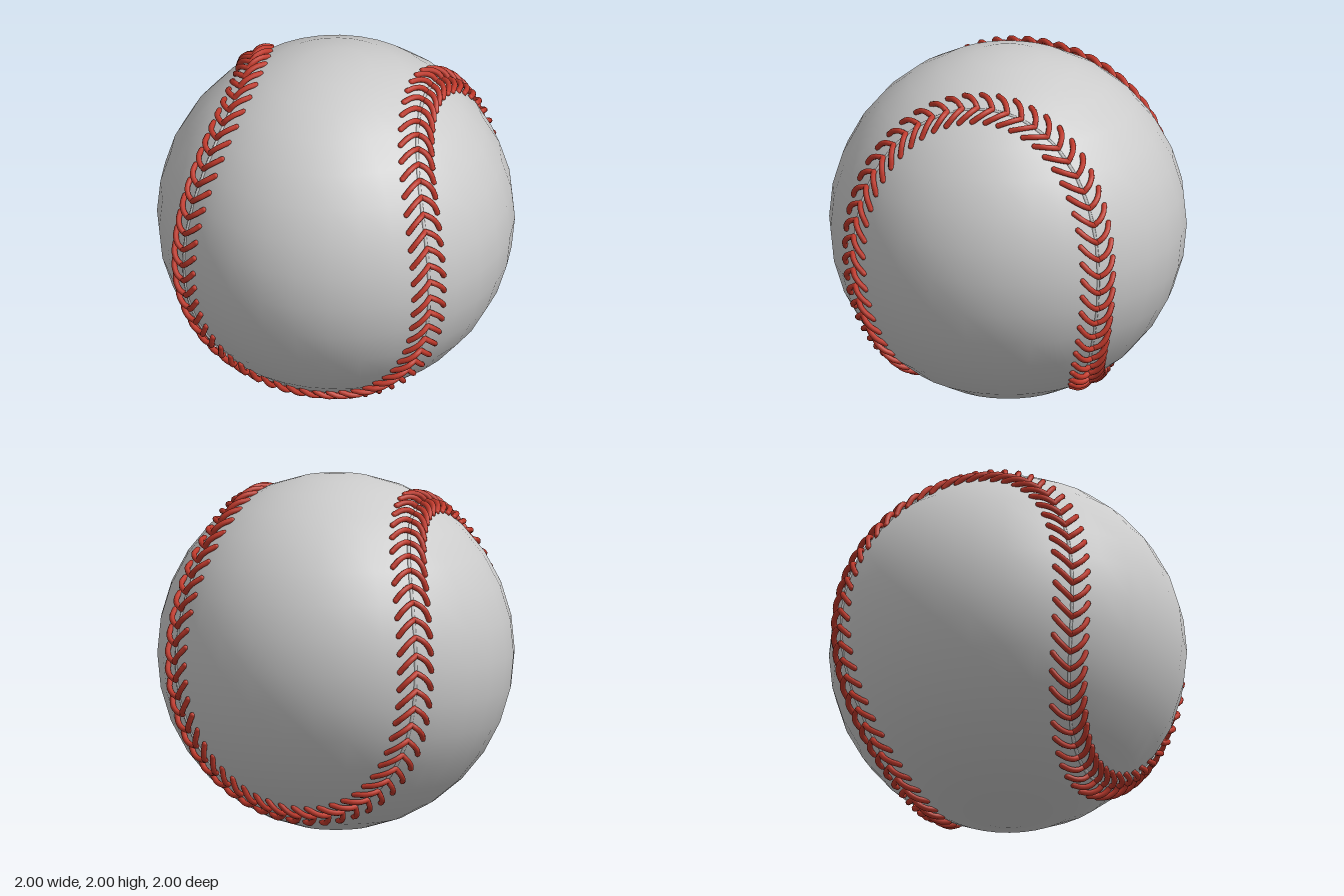
import * as THREE from 'three';
import { mergeGeometries } from 'three/addons/utils/BufferGeometryUtils.js';

// Closed seam curve on the unit sphere, symmetric about the y axis
const A = 0.755, B = 0.245, C = 2 * Math.sqrt(A * B);
function seamPoint(t) {
  const u = A * Math.cos(t) + B * Math.cos(3 * t);
  const w = A * Math.sin(t) - B * Math.sin(3 * t);
  return new THREE.Vector3((u + w) * Math.SQRT1_2, C * Math.sin(2 * t), (w - u) * Math.SQRT1_2);
}

class SeamCurve extends THREE.Curve {
  getPoint(k, target = new THREE.Vector3()) {
    return target.copy(seamPoint(k * Math.PI * 2)).multiplyScalar(0.994);
  }
}

// One arm of a chevron stitch: a short thread bowed over the leather
const THREAD = 0.016;
function stitchArm(t, side) {
  const normal = seamPoint(t).normalize();
  const along = seamPoint(t + 0.01).sub(seamPoint(t - 0.01)).normalize();
  const across = new THREE.Vector3().crossVectors(normal, along).multiplyScalar(side);
  // [across the seam, along the seam, distance from the centre]
  const path = [[0, 0, 1.006], [0.032, 0.018, 1.02], [0.07, 0.052, 1.018], [0.1, 0.092, 0.999]];
  const points = path.map(([a, l, r]) =>
    normal.clone().addScaledVector(across, a).addScaledVector(along, l).setLength(r));
  const curve = new THREE.CatmullRomCurve3(points);
  const ends = [points[0], points[3]].map((p) =>
    new THREE.SphereGeometry(THREAD, 8, 6).translate(p.x, p.y, p.z));
  return [new THREE.TubeGeometry(curve, 7, THREAD, 8), ...ends];
}

export function createModel() {
  const model = new THREE.Group();
  const leather = new THREE.MeshStandardMaterial({ color: 0xcccccc });
  const red = new THREE.MeshStandardMaterial({ color: 0xc0392b });

  // Leather ball
  const ball = new THREE.Mesh(new THREE.SphereGeometry(1, 32, 16), leather);
  ball.name = 'ball';

  // Raised joint between the two leather panels
  const seam = new THREE.Mesh(
    new THREE.TubeGeometry(new SeamCurve(), 160, 0.01, 6, true), leather);
  seam.name = 'seam';

  // 108 chevron stitches following the seam
  const COUNT = 108;
  const parts = [];
  for (let i = 0; i < COUNT; i++) {
    const t = (i / COUNT) * Math.PI * 2;
    for (const side of [-1, 1]) parts.push(...stitchArm(t, side));
  }
  const stitches = new THREE.Mesh(mergeGeometries(parts), red);
  stitches.name = 'stitches';

  for (const mesh of [ball, seam, stitches]) {
    mesh.position.y = 1;
    model.add(mesh);
  }
  return model;
}
